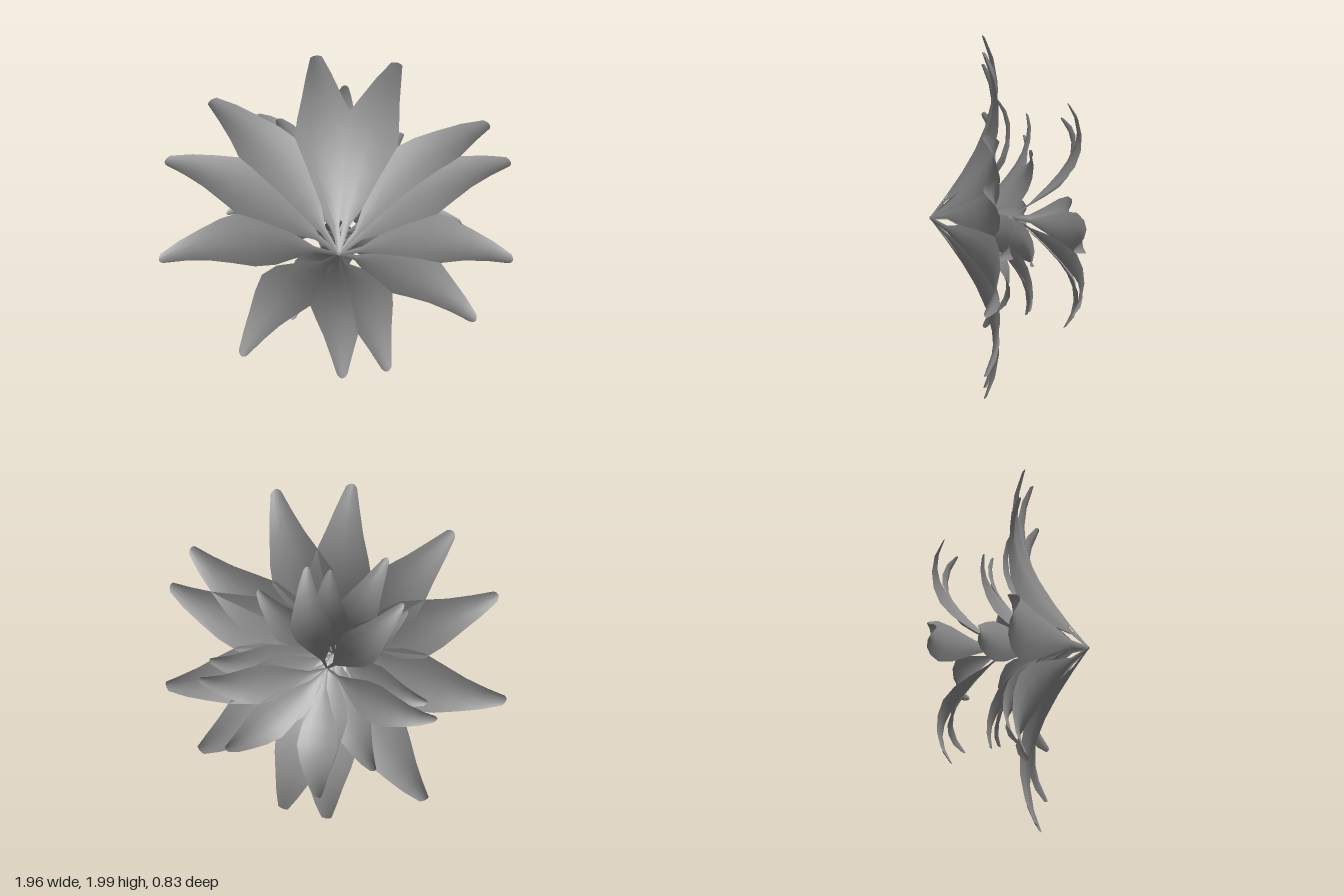
import * as THREE from 'three';

const material = new THREE.MeshStandardMaterial({ color: 0x949494, side: THREE.DoubleSide });

// Relative petal width at even steps from stalk to tip
const WIDTHS = [0.05, 0.11, 0.5, 0.88, 1, 0.82, 0.58, 0.37, 0.17];
const ACROSS = 4;

// Four whorls from front to back; angles in degrees
const whorls = [
  { name: 'outerPetals', base: 0.41, depth: 0.35, reach: 1, width: 0.35, curl: 2.15,
    angles: [96.3, 72, 37.3, 22.6, -12.8, -38, -73, -88.3, -123.4, 191, 155.5, 131] },
  { name: 'secondPetals', base: 0.3, depth: 0.32, reach: 0.69, width: 0.23, curl: 2.2,
    angles: [-2, 117, 248] },
  { name: 'thirdPetals', base: 0.2, depth: 0.33, reach: 0.58, width: 0.22, curl: 1.8,
    angles: [51, 93, 140, 194, 268, 315, 350] },
  { name: 'innerPetals', base: -0.05, depth: 0.345, reach: 0.65, width: 0.22, curl: 2.15,
    angles: [0, 85, 133, 193, 270, 322] },
];

// One petal along +x: it sweeps back on a sine curve and is cupped across its width
function petalGeometry({ base, depth, reach, width, curl }) {
  const steps = WIDTHS.length - 1;
  const geometry = new THREE.PlaneGeometry(1, 1, steps, ACROSS);
  const pos = geometry.attributes.position;
  for (let i = 0; i < pos.count; i++) {
    const u = pos.getX(i) + 0.5;
    const t = pos.getY(i) * 2;
    const w = width * WIDTHS[Math.round(u * steps)];
    const cup = (0.09 * w + 0.012 * u) * t * t;
    // the tip is slightly rounded
    const x = u * reach - (u > 0.99 ? 0.015 * t * t : 0);
    pos.setXYZ(i, x, t * w / 2, base - depth * Math.sin(curl * u) - cup);
  }
  geometry.computeVertexNormals();
  return geometry;
}

export function createModel() {
  const model = new THREE.Group();
  model.name = 'flower';
  for (const spec of whorls) {
    const whorl = new THREE.Group();
    whorl.name = spec.name;
    const geometry = petalGeometry(spec);
    for (const degrees of spec.angles) {
      const petal = new THREE.Mesh(geometry, material);
      petal.name = 'petal';
      petal.rotation.z = THREE.MathUtils.degToRad(degrees);
      whorl.add(petal);
    }
    model.add(whorl);
  }
  model.position.y = 1;
  return model;
}
